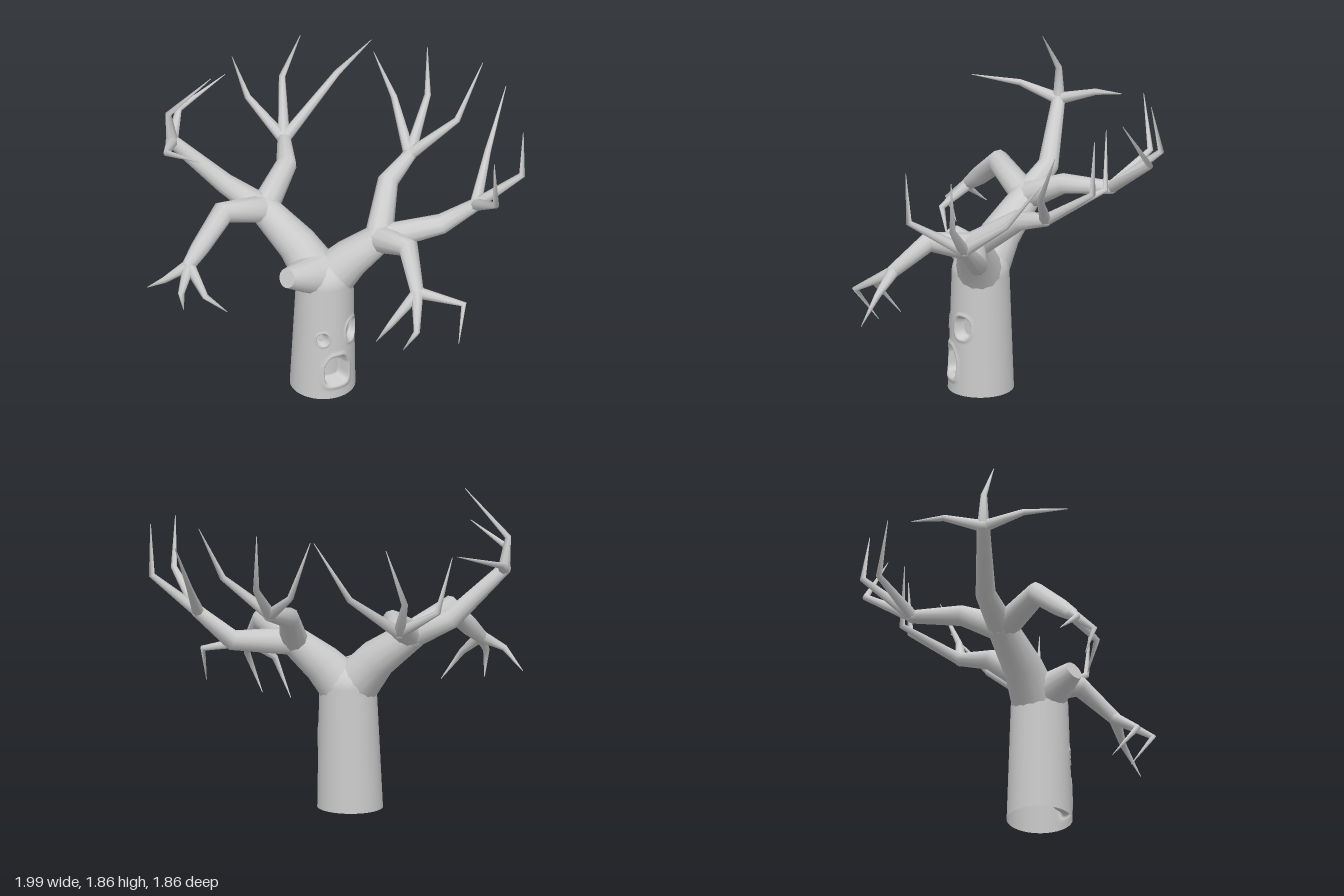
import * as THREE from 'three';
import { mergeVertices } from 'three/addons/utils/BufferGeometryUtils.js';

const bark = new THREE.MeshStandardMaterial({ color: 0xcccccc, side: THREE.DoubleSide });
const V = (p) => new THREE.Vector3(...p);

function part(name, geometry) {
  const m = new THREE.Mesh(geometry, bark);
  m.name = name;
  return m;
}

// Tube through points, tapering evenly from radius r0 to r1
function limb(name, points, r0, r1, sides) {
  const c = points.map(V), pos = [], idx = [];
  const dirs = c.slice(1).map((p, i) => p.clone().sub(c[i]).normalize());
  const side = Math.abs(dirs[0].z) > 0.8 ? V([1, 0, 0]) : V([0, 0, 1]);
  c.forEach((p, i) => {
    const t = dirs[Math.max(i - 1, 0)].clone().add(dirs[Math.min(i, dirs.length - 1)]).normalize();
    side.addScaledVector(t, -side.dot(t)).normalize();
    const up = t.clone().cross(side);
    const r = THREE.MathUtils.lerp(r0, r1, i / (c.length - 1));
    for (let j = 0; j < sides; j++) {
      const th = (j / sides) * Math.PI * 2;
      const q = p.clone().addScaledVector(side, r * Math.cos(th)).addScaledVector(up, r * Math.sin(th));
      pos.push(q.x, q.y, q.z);
      if (i) {
        const k = (j + 1) % sides, lo = (i - 1) * sides, hi = i * sides;
        idx.push(lo + j, lo + k, hi + k, lo + j, hi + k, hi + j);
      }
    }
  });
  const g = new THREE.BufferGeometry();
  g.setAttribute('position', new THREE.Float32BufferAttribute(pos, 3));
  g.setIndex(idx);
  g.computeVertexNormals();
  return part(name, g);
}

// Rounded joint closing the end of a limb
function knuckle(at, r) {
  const m = part('knuckle', new THREE.SphereGeometry(r, 12, 8));
  m.position.set(...at);
  return m;
}

// Face hollows: centre, half width, half height, depth, squareness
const hollows = [
  { x: -0.155, y: 0.175, w: 0.07, h: 0.09, d: 0.075, p: 5 },
  { x: -0.05, y: 0.4, w: 0.045, h: 0.065, d: 0.045, p: 2.5 },
  { x: -0.228, y: 0.385, w: 0.026, h: 0.038, d: 0.03, p: 2 },
];

// Hollow trunk, open below, doming over at the fork, with the face pressed in
function trunk() {
  const height = 0.84, dome = 0.14;
  const g = new THREE.PlaneGeometry(1, 1, 168, 126);
  const p = g.attributes.position;
  for (let i = 0; i < p.count; i++) {
    const th = p.getX(i) * Math.PI * 2;
    const y = (p.getY(i) + 0.5) * height;
    const k = Math.max(0, (y - height + dome) / dome);
    const r = (0.181 - 0.033 * y) * Math.sqrt(Math.max(0, 1 - k * k));
    const x = -0.128 + 0.015 * y + r * Math.sin(th);
    let z = 0.034 + 0.01 * y + r * 1.02 * Math.cos(th);
    if (Math.cos(th) > 0) {
      for (const o of hollows) {
        const v = (y - o.y) / o.h;
        const narrow = o.p > 4 && v > 0.3 ? Math.max(0.4, 1 - 0.45 * (v - 0.3)) : 1;
        const u = (x - o.x) / (o.w * narrow);
        const d = (Math.abs(u) ** o.p + Math.abs(v) ** o.p) ** (1 / o.p);
        z -= o.d * (1 - THREE.MathUtils.smoothstep(d, 0.78, 1.02));
        z += 0.007 * Math.exp(-(((d - 1.15) / 0.14) ** 2));
      }
    }
    p.setXYZ(i, x, y, z);
  }
  g.deleteAttribute('uv');
  g.deleteAttribute('normal');
  const geo = mergeVertices(g, 1e-5);
  geo.computeVertexNormals();
  return part('trunk', geo);
}

// Bough from a fork to a knuckle, then bent twigs: bend x, y, z, then tip x, z.
// Every tip lies the same rise above its bend unless a sixth value is given.
function branch(name, path, rise, twigs) {
  const g = new THREE.Group();
  g.name = name;
  const end = path[path.length - 1];
  g.add(limb('bough', path, 0.08, 0.038, 10), knuckle(end, 0.038));
  for (const [x, y, z, tipX, tipZ, lift = rise] of twigs) {
    g.add(limb('twig', [end, [x, y, z], [tipX, y + lift, tipZ]], 0.035, 0.002, 7));
  }
  return g;
}

// Sawn-off stub on the trunk's side
function stub() {
  const from = V([-0.17, 0.735, 0.035]), to = V([-0.405, 0.818, 0.072]);
  const axis = to.clone().sub(from);
  const m = part('stub', new THREE.CylinderGeometry(0.056, 0.125, axis.length(), 14));
  m.position.copy(from).add(to).multiplyScalar(0.5);
  m.quaternion.setFromUnitVectors(V([0, 1, 0]), axis.normalize());
  return m;
}

export function createModel() {
  const tree = new THREE.Group();
  tree.name = 'bareTree';
  tree.add(trunk(), stub());

  // The two big forks
  const back = [-0.27, 1.02, -0.32], front = [0.12, 0.95, 0.22];
  tree.add(limb('backFork', [[-0.13, 0.68, 0.02], [-0.19, 0.86, -0.12], back], 0.14, 0.085, 14), knuckle(back, 0.085));
  tree.add(limb('frontFork', [[-0.1, 0.68, 0.05], [0, 0.82, 0.125], front], 0.14, 0.085, 14), knuckle(front, 0.085));

  // Branches off the back fork
  tree.add(branch('leftDroopingBranch', [back, [-0.57, 1.125, -0.3], [-0.75, 0.98, -0.27], [-0.84, 0.91, -0.255]], -0.14, [
    [-0.97, 0.83, -0.31, -0.99, -0.44, -0.11],
    [-0.95, 0.8, -0.18, -0.91, -0.21],
    [-0.85, 0.79, -0.09, -0.72, -0.06],
  ]));
  tree.add(branch('leftRisingBranch', [back, [-0.39, 1.13, -0.52], [-0.62, 1.41, -0.7]], 0.1, [
    [-0.64, 1.59, -0.71, -0.48, -0.53, 0.27],
    [-0.78, 1.48, -0.54, -0.78, -0.24],
    [-0.46, 1.48, -0.85, -0.14, -0.85],
  ]));
  tree.add(branch('backBranch', [back, [-0.03, 1.16, -0.43], [0.12, 1.15, -0.65]], 0.3, [
    [0.07, 1.31, -0.92, -0.03, -0.93],
    [0.28, 1.38, -0.88, 0.34, -0.79],
    [0.52, 1.41, -0.69, 0.6, -0.48],
  ]));

  // Branches off the front fork
  tree.add(branch('frontDroopingBranch', [front, [0.125, 1.03, 0.49], [0.05, 0.86, 0.67]], -0.2, [
    [-0.15, 0.73, 0.685, -0.13, 0.53],
    [-0.08, 0.74, 0.84, -0.07, 0.7],
    [0.23, 0.81, 0.86, 0.15, 0.92],
  ]));
  tree.add(branch('rightBackBranch', [front, [0.33, 1.15, 0.03], [0.53, 1.21, -0.035]], 0.31, [
    [0.75, 1.43, 0.11, 0.93, 0.11],
    [0.78, 1.42, -0.2, 0.785, -0.21],
    [0.655, 1.38, -0.345, 0.555, -0.4],
  ]));
  tree.add(branch('rightFrontBranch', [front, [0.46, 0.985, 0.355], [0.585, 1.14, 0.5]], 0.29, [
    [0.79, 1.33, 0.34, 1, 0.23],
    [0.78, 1.35, 0.67, 0.78, 0.68],
    [0.5, 1.33, 0.8, 0.48, 0.81],
  ]));
  return tree;
}
